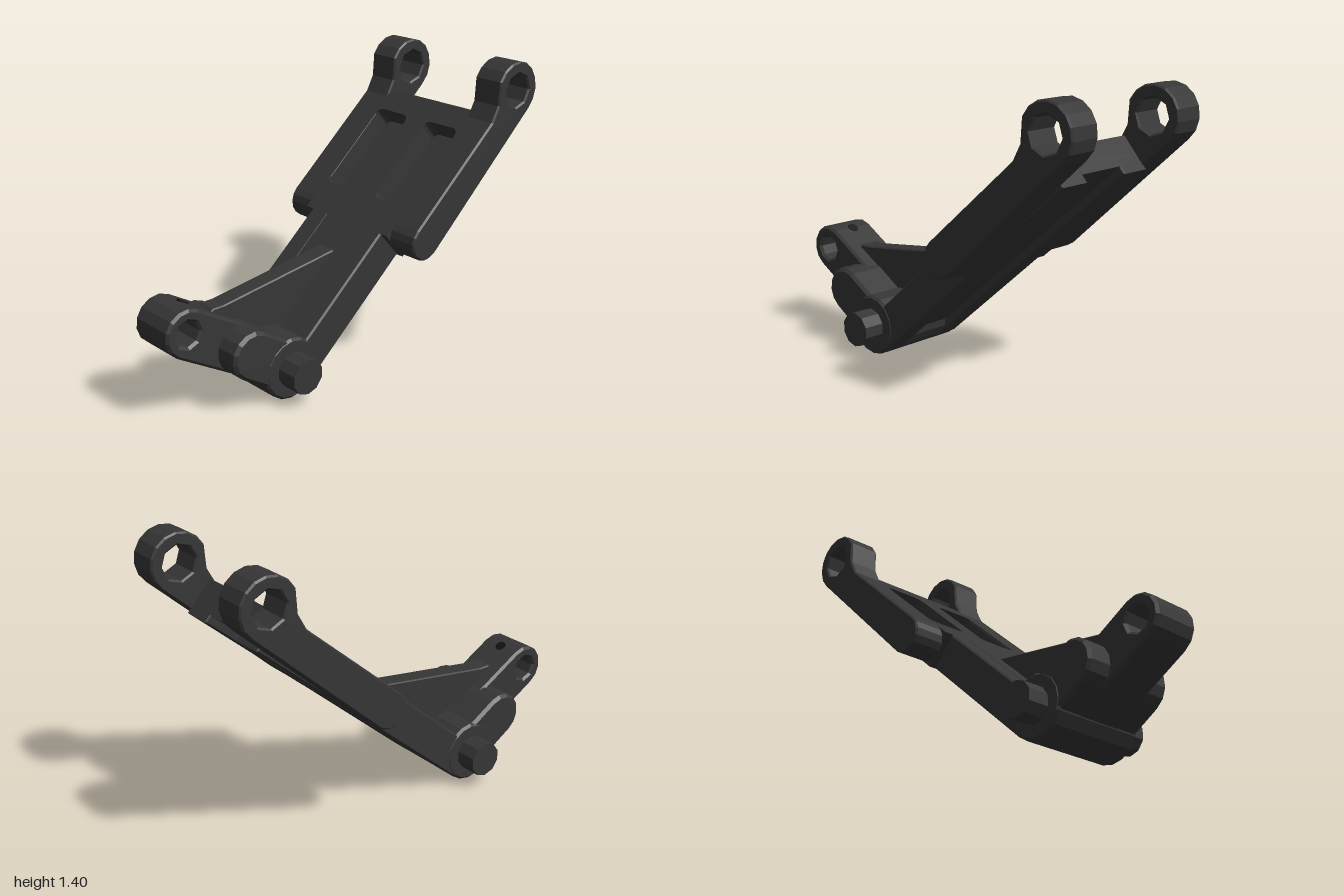
import * as THREE from 'three';

const material = new THREE.MeshStandardMaterial({ color: 0x363636, flatShading: true, side: THREE.DoubleSide });
const PIVOT = [-0.41, 0.155], EYE = [-0.885, 0.435];
const SLOPE = Math.atan2(0.656, 0.755);

// Points on an arc, angles in degrees
function arc([cx, cy], r, from, to, n) {
  return Array.from({ length: n + 1 }, (_, i) => {
    const a = THREE.MathUtils.degToRad(from + (to - from) * i / n);
    return new THREE.Vector2(cx + r * Math.cos(a), cy + r * Math.sin(a));
  });
}
const pts = (...list) => list.map(([x, y]) => new THREE.Vector2(x, y));

// Rounded bar outline from point a to point b
function capsule(a, b, r) {
  const dir = THREE.MathUtils.radToDeg(Math.atan2(b[1] - a[1], b[0] - a[0]));
  return [...arc(b, r, dir - 90, dir + 90, 7), ...arc(a, r, dir + 90, dir + 270, 7)];
}

// Extrude an outline from z0 to z1 with a small edge chamfer
function slab(parent, name, outline, z0, z1, holes = [], bevel = 0.012) {
  const shape = new THREE.Shape(outline);
  shape.holes = holes.map(h => new THREE.Path(h));
  const geometry = new THREE.ExtrudeGeometry(shape, {
    depth: z1 - z0 - 2 * bevel, bevelEnabled: bevel > 0, bevelThickness: bevel,
    bevelSize: bevel, bevelOffset: -bevel, bevelSegments: 1
  });
  geometry.translate(0, 0, z0 + bevel);
  const mesh = new THREE.Mesh(geometry, material);
  mesh.name = name;
  parent.add(mesh);
  return mesh;
}

function roundedRect(x0, y0, x1, y1, r) {
  return [
    ...arc([x1 - r, y0 + r], r, -90, 0, 3), ...arc([x1 - r, y1 - r], r, 0, 90, 3),
    ...arc([x0 + r, y1 - r], r, 90, 180, 3), ...arc([x0 + r, y0 + r], r, 180, 270, 3)
  ];
}
const rect = (x0, y0, x1, y1) => pts([x0, y0], [x1, y0], [x1, y1], [x0, y1]);

export function createModel() {
  const root = new THREE.Group();
  root.name = 'rockerArm';

  // Long arm: local x runs up the slope from the pivot
  const arm = new THREE.Group();
  arm.name = 'longArm';
  arm.position.set(PIVOT[0], PIVOT[1], 0);
  arm.rotation.z = SLOPE;
  root.add(arm);

  // Beam with a shallow channel along the underside
  slab(arm, 'beamCore', rect(0, -0.11, 0.85, 0.03), -0.13, 0.13, [], 0);
  for (const s of [-1, 1]) {
    const span = (a, b) => (s > 0 ? [a, b] : [-b, -a]);
    slab(arm, 'beamSide', rect(0, -0.15, 0.85, 0.03), ...span(0.125, 0.24), [], 0.008);
    slab(arm, 'deckFloor', rect(0.75, -0.15, 1.512, -0.075), ...span(0.125, 0.28), [], 0.006);

    // Side rail ending in a fork lug
    const lug = [1.686, 0.012];
    const rail = [
      ...arc([0.825, -0.06], 0.09, 90, 270, 8),
      ...arc(lug, 0.14, -92, 114, 9),
      ...pts([1.55, 0.06], [1.47, 0.03])
    ];
    slab(arm, 'forkRail', rail, ...span(0.27, 0.43), [arc(lug, 0.083, 0, 315, 7)], 0.008);
  }
  slab(arm, 'deckFloorCentre', rect(0.75, -0.11, 1.512, -0.075), -0.13, 0.13, [], 0);

  // Deck plate with two rounded pockets, drawn in plan and laid flat
  const pockets = [-1, 1].map(s => {
    const [a, b] = s > 0 ? [0.06, 0.272] : [-0.272, -0.06];
    return roundedRect(0.915, a, 1.39, b, 0.035);
  });
  const deck = slab(arm, 'pocketedDeck', rect(0.75, -0.28, 1.512, 0.28), 0, 0.11, pockets, 0);
  deck.rotation.x = -Math.PI / 2;
  deck.position.y = -0.08;

  // Pivot barrel and pins
  slab(root, 'pivotBarrel', arc(PIVOT, 0.15, 0, 337.5, 15), -0.243, 0.243);
  const pin = new THREE.Mesh(new THREE.CylinderGeometry(0.085, 0.085, 0.7, 10), material);
  pin.name = 'pivotPin';
  pin.rotation.x = Math.PI / 2;
  pin.position.set(PIVOT[0], PIVOT[1], 0);
  root.add(pin);

  // Short arm with its end eye and the wider cheeks around its root
  slab(root, 'shortArm', capsule(PIVOT, EYE, 0.115), -0.12, 0.12, [arc(EYE, 0.062, 0, 315, 7)]);
  slab(root, 'shortArmCheeks', capsule(PIVOT, [-0.62, 0.285], 0.115), -0.24, 0.24, [], 0.015);

  // Gusset web bridging both arms
  slab(root, 'gussetWeb', pts([-0.74, 0.44], [-0.45, 0.18], [-0.25, 0.2], [0.06, 0.53],
    [0.02, 0.565], [-0.64, 0.475], [-0.7, 0.475]), -0.05, 0.05, [], 0.006);

  // Oil hole on top of the eye
  const oil = new THREE.Mesh(new THREE.CylinderGeometry(0.028, 0.028, 0.01, 8),
    new THREE.MeshStandardMaterial({ color: 0x111111 }));
  oil.name = 'oilHole';
  oil.position.set(EYE[0] + 0.058, EYE[1] + 0.097, 0);
  oil.rotation.z = -Math.atan2(0.475, -0.28) + Math.PI / 2;
  oil.rotation.z = Math.atan2(-0.28, 0.475);
  root.add(oil);

  return root;
}
